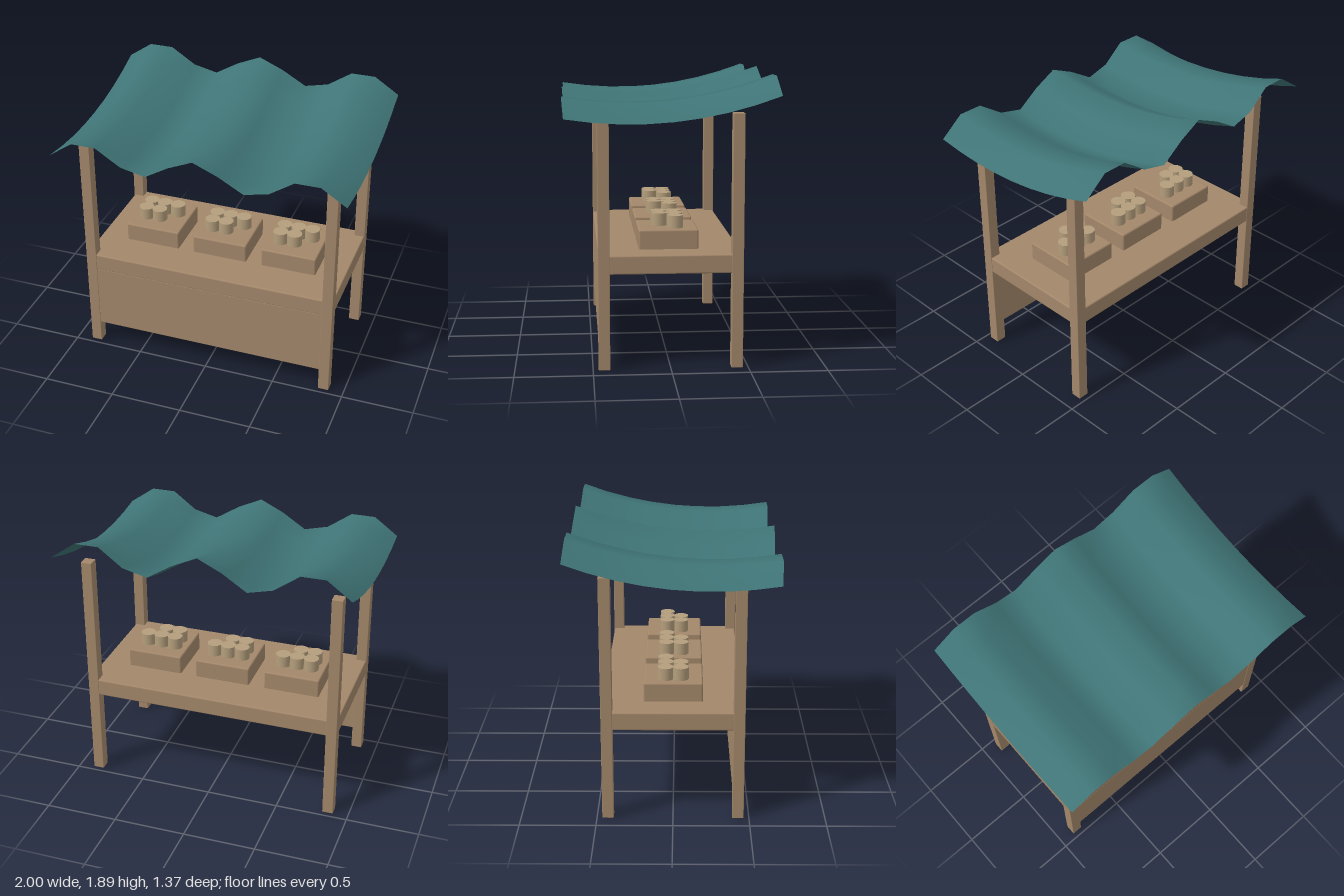
import * as THREE from 'three';
import { RoundedBoxGeometry } from 'three/addons/geometries/RoundedBoxGeometry.js';

export function createModel() {
  const stall = new THREE.Group();
  stall.name = 'marketStall';

  const material = (name, color, side = THREE.FrontSide) => {
    const m = new THREE.MeshStandardMaterial({ color, side });
    m.name = name;
    return m;
  };
  const wood = material('wood', 0xa3876a);
  const goods = material('goods', 0xb49e7c);
  const cloth = material('cloth', 0x3f7476, THREE.DoubleSide);

  const add = (name, geometry, mat, x, y, z, parent = stall) => {
    const mesh = new THREE.Mesh(geometry, mat);
    mesh.name = name;
    mesh.position.set(x, y, z);
    parent.add(mesh);
    return mesh;
  };

  // Box with softened edges, standing on y
  const board = (name, w, h, d, x, y, z, bevel = 0.006, parent = stall) =>
    add(name, new RoundedBoxGeometry(w, h, d, 2, bevel), wood, x, y + h / 2, z, parent);

  // Corner posts
  for (const sx of [-1, 1]) {
    for (const sz of [-1, 1]) {
      board(sz > 0 ? 'frontPost' : 'backPost', 0.075, 1.643, 0.075, sx * 0.8575, 0, sz * 0.4275, 0.004);
    }
  }

  // Counter and the panel below its front edge
  board('counter', 1.784, 0.122, 0.924, 0, 0.623, 0, 0.01);
  board('frontPanel', 1.784, 0.465, 0.07, 0, 0.163, 0.427, 0.004);

  // Crates, each carrying five round goods
  const jar = new THREE.CylinderGeometry(0.052, 0.052, 0.085, 20);
  const spots = [[-0.1, -0.05], [0, -0.05], [0.1, -0.05], [-0.1, 0.05], [0, 0.05]];
  for (const x of [-0.5, 0, 0.5]) {
    const display = new THREE.Group();
    display.name = 'display';
    display.position.set(x, 0.735, 0);
    stall.add(display);
    board('crate', 0.39, 0.138, 0.39, 0, 0, 0, 0.012, display);
    for (const [jx, jz] of spots) add('jar', jar, goods, jx, 0.1775, jz, display);
  }

  // Rippled canopy that sags along its depth and tilts up to the back
  const half = 0.679;
  const sheet = new THREE.PlaneGeometry(2, half * 2, 12, 8).rotateX(-Math.PI / 2);
  const p = sheet.attributes.position;
  for (let i = 0; i < p.count; i++) {
    const ripple = 0.092 * Math.cos(p.getX(i) * Math.PI * 2 / 0.75);
    p.setY(i, ripple + 0.09 * (p.getZ(i) / half) ** 2);
  }
  sheet.computeVertexNormals();
  add('canopy', sheet, cloth, 0, 1.645, -0.008).rotation.x = 0.1;

  return stall;
}
